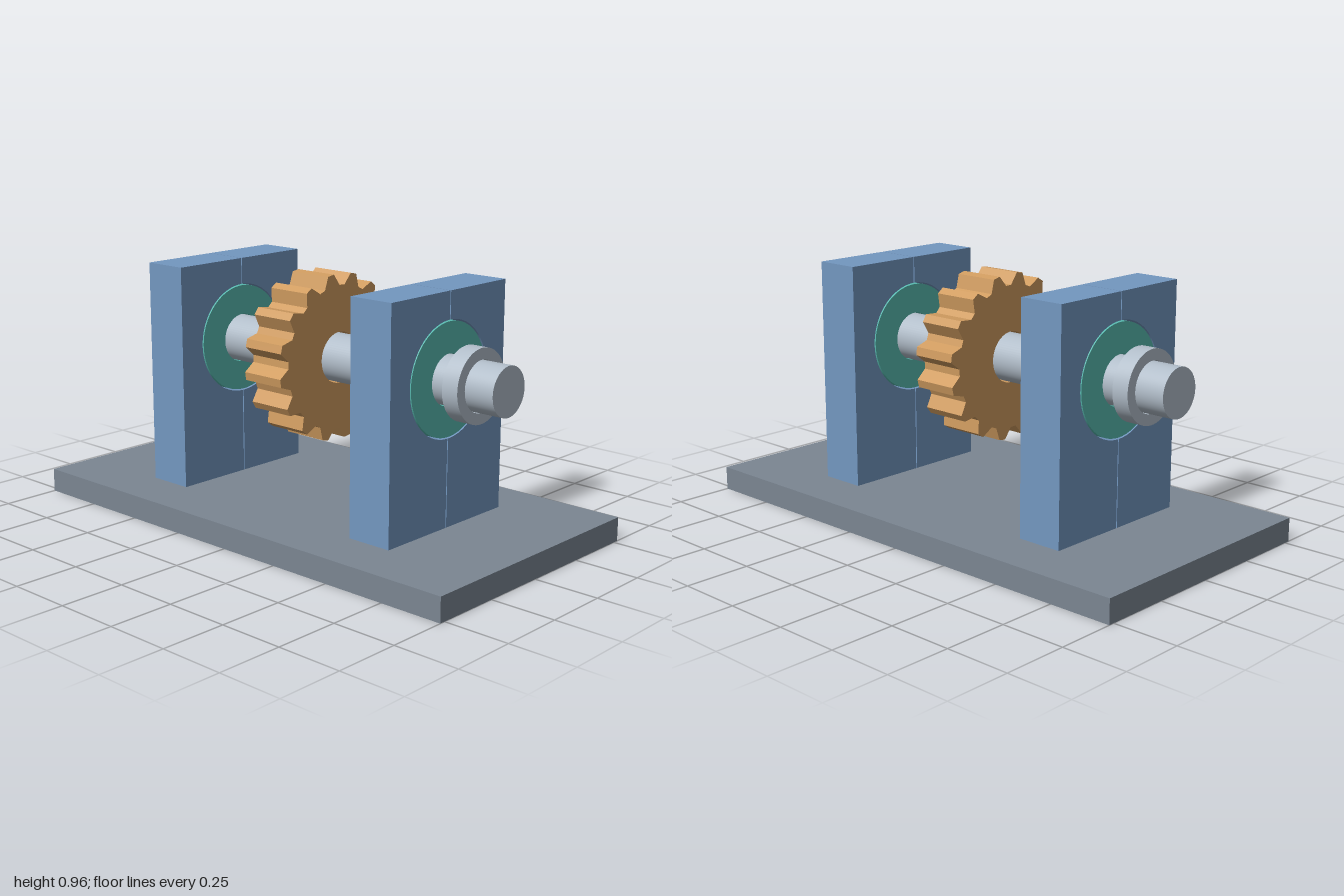
import * as THREE from 'three';
import { toCreasedNormals } from 'three/addons/utils/BufferGeometryUtils.js';

const AXLE_Y = 0.64;

function material(name, color) {
  const m = new THREE.MeshStandardMaterial({ color });
  m.name = name;
  return m;
}

// Extrude a shape along z, centred on z = 0
function extrude(shape, depth) {
  const g = new THREE.ExtrudeGeometry(shape, { depth, bevelEnabled: false, curveSegments: 48 });
  g.translate(0, 0, -depth / 2);
  return toCreasedNormals(g, 0.3);
}

// Flat ring with a rectangular section, its axis along z
function ring(inner, outer, depth) {
  const h = depth / 2;
  const profile = [[inner, -h], [outer, -h], [outer, h], [inner, h], [inner, -h]]
    .map(([r, y]) => new THREE.Vector2(r, y));
  const g = new THREE.LatheGeometry(profile, 64);
  g.rotateX(Math.PI / 2);
  return toCreasedNormals(g, 0.5);
}

// Half of a bearing block, with a half-round cutout on the split line
function blockHalf() {
  const gap = 0.002, width = 0.317, bottom = 0.092, top = 0.957, radius = 0.2145;
  const a = Math.acos(gap / radius);
  const s = new THREE.Shape();
  s.moveTo(gap, bottom);
  s.lineTo(width, bottom);
  s.lineTo(width, top);
  s.lineTo(gap, top);
  s.absarc(0, AXLE_Y, radius, a, -a, true);
  s.closePath();
  return extrude(s, 0.18);
}

// Spur gear: every tooth is a quarter rise, tip, fall and root
function gearGeometry() {
  const teeth = 16, root = 0.273, tip = 0.317;
  const points = [];
  for (let i = 0; i < teeth * 4; i++) {
    const a = (i / (teeth * 4)) * Math.PI * 2;
    const r = i % 4 === 1 || i % 4 === 2 ? tip : root;
    points.push(new THREE.Vector2(Math.cos(a) * r, Math.sin(a) * r));
  }
  const s = new THREE.Shape(points);
  s.holes.push(new THREE.Path().absarc(0, 0, 0.097, 0, Math.PI * 2, true));
  return extrude(s, 0.18);
}

export function createModel() {
  const model = new THREE.Group();
  model.name = 'gearStand';

  const baseGrey = material('baseGrey', 0x7b8692);
  const blockBlue = material('blockBlue', 0x7397c0);
  const bearingTeal = material('bearingTeal', 0x58bab0);
  const steel = material('steel', 0xb1bdc9);
  const bronze = material('bronze', 0xd09c60);

  const add = (name, geometry, mat, y = 0, z = 0) => {
    const mesh = new THREE.Mesh(geometry, mat);
    mesh.name = name;
    mesh.position.set(0, y, z);
    model.add(mesh);
    return mesh;
  };

  add('basePlate', new THREE.BoxGeometry(1.044, 0.092, 2), baseGrey, 0.046);

  // Shaft with the gear in the middle
  const shaft = new THREE.CylinderGeometry(0.0915, 0.0915, 1.73, 64);
  shaft.rotateX(Math.PI / 2);
  add('shaft', shaft, steel, AXLE_Y);
  add('gear', gearGeometry(), bronze, AXLE_Y);

  // Split block, bearing and collar at each end
  const half = blockHalf();
  const bearing = ring(0.0945, 0.209, 0.18);
  const collar = ring(0.0945, 0.136, 0.066);
  for (const [end, side] of [['front', 1], ['back', -1]]) {
    add(end + 'BlockLeft', half, blockBlue, 0, side * 0.518);
    add(end + 'BlockRight', half, blockBlue, 0, side * 0.518).rotation.y = Math.PI;
    add(end + 'Bearing', bearing, bearingTeal, AXLE_Y, side * 0.518);
    add(end + 'Collar', collar, steel, AXLE_Y, side * 0.717);
  }

  return model;
}
